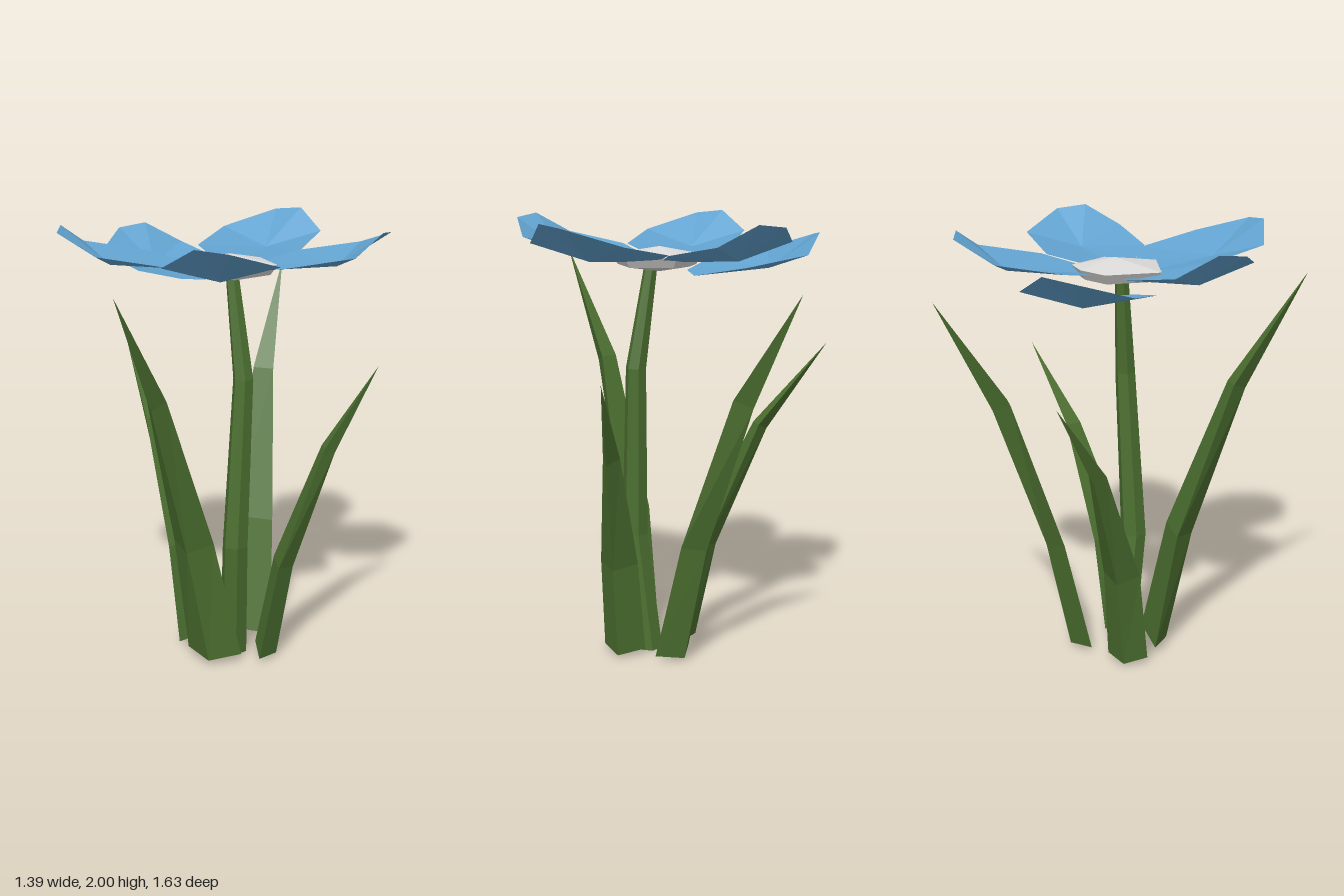
import * as THREE from 'three';

const flat = (name, color) =>
  new THREE.MeshStandardMaterial({ name, color, flatShading: true, side: THREE.DoubleSide });

// Mesh from a list of triangles, each three Vector3s
function facets(name, tris, material) {
  const geo = new THREE.BufferGeometry().setFromPoints(tris.flat());
  geo.computeVertexNormals();
  const mesh = new THREE.Mesh(geo, material);
  mesh.name = name;
  return mesh;
}

// Skin between rings of points (counter-clockwise from above), capped at both ends
function loft(name, rings, material) {
  const tris = [];
  const n = rings[0].length;
  const mid = (r) => r.reduce((s, p) => s.add(p), new THREE.Vector3()).divideScalar(n);
  const bottom = mid(rings[0]), top = mid(rings.at(-1));
  for (let i = 0; i < n; i++) {
    const j = (i + 1) % n;
    for (let k = 0; k < rings.length - 1; k++) {
      const a = rings[k], b = rings[k + 1];
      tris.push([a[i], a[j], b[j]], [a[i], b[j], b[i]]);
    }
    tris.push([bottom, rings[0][j], rings[0][i]], [top, rings.at(-1)[i], rings.at(-1)[j]]);
  }
  return facets(name, tris, material);
}

// Three-sided leaf: keel on the outer side, two edges inside, running to a point
function leaf(name, path, outward, widths, depths, material) {
  const pts = path.map((p) => new THREE.Vector3(...p));
  const out = new THREE.Vector3(outward[0], 0, outward[1]).normalize();
  const side = new THREE.Vector3(out.z, 0, -out.x);
  const rings = pts.map((c, i) => {
    const t = pts[Math.min(i + 1, pts.length - 1)].clone().sub(pts[Math.max(i - 1, 0)]).normalize();
    const o = out.clone().addScaledVector(t, -out.dot(t)).normalize();
    const w = (widths[i] ?? 0) / 2, d = (depths[i] ?? 0) / 2;
    return [[d, 0], [-d, w], [-d, -w]].map(([a, b]) =>
      c.clone().addScaledVector(o, a).addScaledVector(side, b));
  });
  return loft(name, rings, material);
}

// Cupped petal: rim points (across, height, outward) fanned around a low fold point
const RIM = [
  [-0.24, 1.91, 0], [-0.025, 1.985, 0.14], [0.11, 2.0, 0.11], [0.24, 1.91, 0],
  [0.23, 1.86, -0.285], [0.1, 1.825, -0.44], [0, 1.81, -0.45], [-0.13, 1.825, -0.44], [-0.265, 1.86, -0.295],
];
function petal(name, x, drop, z, degrees, material) {
  const v = RIM.map(([a, h, o]) => new THREE.Vector3(a, h, -o));
  const fold = new THREE.Vector3(0, 1.836, 0.09);
  const mesh = facets(name, v.map((p, i) => [fold, v[(i + 1) % v.length], p]), material);
  mesh.position.set(x, -drop, z);
  mesh.rotation.y = -THREE.MathUtils.degToRad(degrees);
  return mesh;
}

export function createModel() {
  const green = flat('leafGreen', 0x4c7030);
  const blue = flat('petalBlue', 0x62a3d0);
  const white = flat('centreWhite', 0xdcdad9);
  const flower = new THREE.Group();
  flower.name = 'flower';

  // Petals
  [
    ['backPetal', 0.01, 0, -0.57, 0],
    ['leftPetal', 0.56, 0, -0.068, 78],
    ['frontPetal', 0.162, 0, 0.57, 158],
    ['rightFrontPetal', -0.545, 0, 0.288, 239],
    ['rightBackPetal', -0.54, 0.072, -0.29, 298],
  ].forEach((p) => flower.add(petal(...p, blue)));

  // Flower centre: low faceted cone with a tapered underside
  const rim = [[0.22, 0], [0.08, -0.18], [-0.05, -0.17], [-0.185, -0.09], [-0.18, 0.16], [0.1, 0.21]];
  const disc = [[0.05, 1.765], [0.85, 1.79], [1, 1.835], [0, 1.875]].map(([s, y]) =>
    rim.map(([x, z]) => new THREE.Vector3(x * s, y, z * s)));
  flower.add(loft('flowerCentre', disc, white));

  // Stem: bent and tapering
  const stem = [
    [0.03, 0.0, 0.04, 0.065], [0.06, 0.55, 0.1, 0.06], [0.085, 1.33, 0.065, 0.047], [0.02, 1.8, 0.032, 0.03],
  ].map(([x, y, z, r]) => Array.from({ length: 6 }, (_, i) => {
    const a = (i / 6) * Math.PI * 2;
    return new THREE.Vector3(x + r * Math.cos(a), y, z - r * Math.sin(a));
  }));
  flower.add(loft('stem', stem, green));

  // Leaves
  flower.add(
    leaf('frontLeaf', [[-0.02, 0.03, 0.2], [-0.085, 0.59, 0.295], [-0.155, 1.3, 0.527], [-0.2, 1.81, 0.82]],
      [0, 1], [0.26, 0.19, 0.09], [0.09, 0.1, 0.075], green),
    leaf('backLeaf', [[0.05, 0.02, -0.17], [0.03, 0.55, -0.29], [0, 1.23, -0.525], [-0.01, 1.72, -0.81]],
      [0, -1], [0.22, 0.19, 0.1], [0.08, 0.07, 0.08], green),
    leaf('leftLeaf', [[0.2, 0.02, 0.05], [0.27, 0.45, 0.01], [0.435, 0.98, -0.12], [0.62, 1.355, -0.27]],
      [0.9, -0.4], [0.2, 0.18, 0.08], [0.09, 0.08, 0.06], green),
    leaf('rightLeaf', [[-0.2, 0.02, 0], [-0.28, 0.465, -0.05], [-0.48, 1.02, -0.2], [-0.695, 1.415, -0.41]],
      [-0.86, -0.5], [0.19, 0.17, 0.08], [0.07, 0.08, 0.06], green),
  );
  return flower;
}
